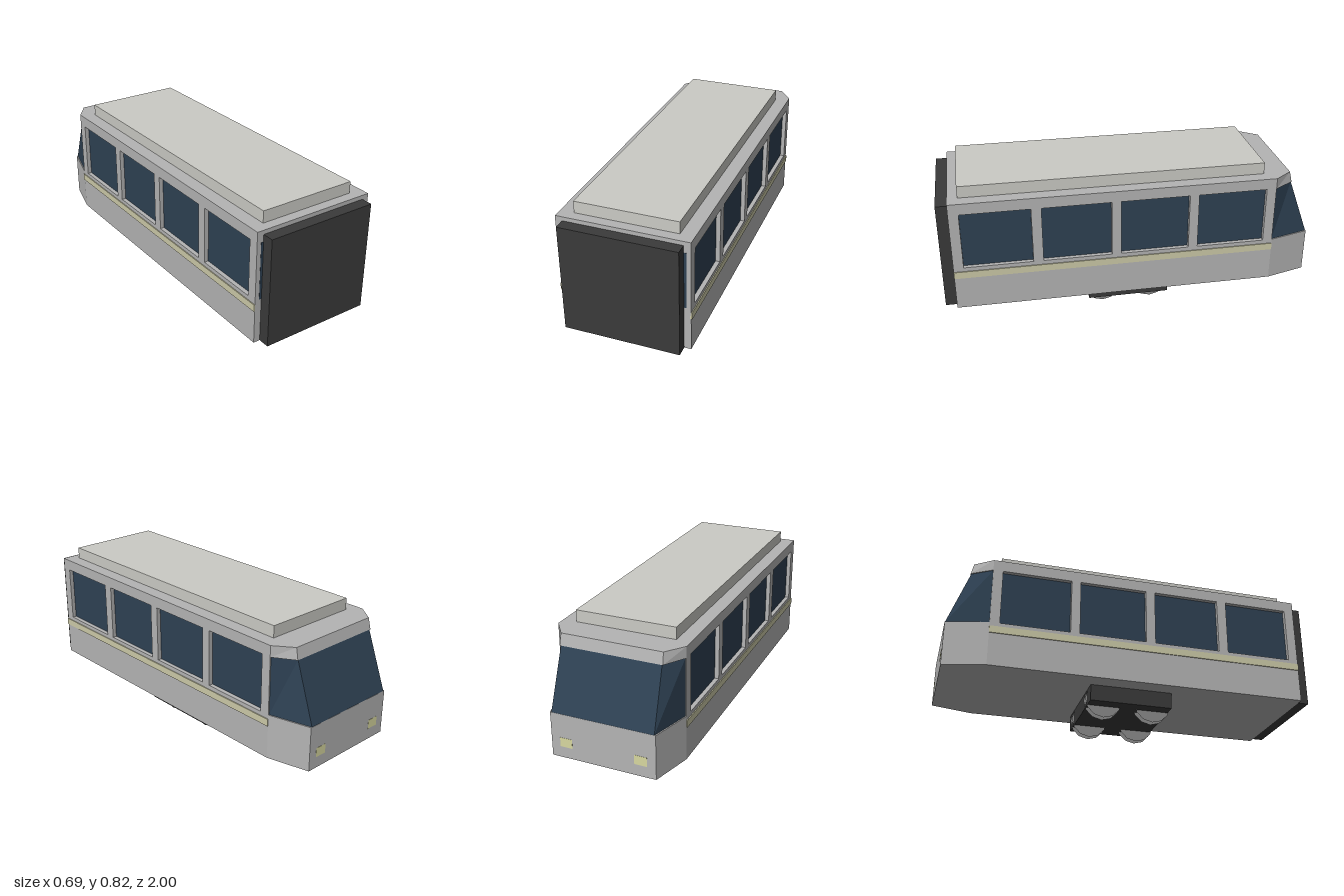
import * as THREE from 'three';

const mat = (name, color, side = THREE.FrontSide) => {
  const m = new THREE.MeshStandardMaterial({ color, side });
  m.name = name;
  return m;
};

export function createModel() {
  const root = new THREE.Group();
  root.name = 'tramSection';
  const paint = mat('greyPaint', 0xb4b4b4);
  const roofPaint = mat('roofGrey', 0xcbcbc5);
  const glass = mat('darkBlueGlass', 0x2e4153);
  const cream = mat('creamStripe', 0xcccaa8);
  const rubber = mat('blackRubber', 0x3a3a3a);
  const steel = mat('wheelSteel', 0x8a8a8a, THREE.DoubleSide);
  const lampYellow = mat('lampYellow', 0xd8d8a0);

  const add = (name, geometry, material) => {
    const mesh = new THREE.Mesh(geometry, material);
    mesh.name = name;
    root.add(mesh);
    return mesh;
  };
  // Box given by its limits on each axis
  const box = (name, material, x0, x1, y0, y1, z0, z1) =>
    add(name, new THREE.BoxGeometry(x1 - x0, y1 - y0, z1 - z0), material)
      .position.set((x0 + x1) / 2, (y0 + y1) / 2, (z0 + z1) / 2);

  // Tapered nose block between two trapezoids [rear half width, rear z, nose half width, nose z]
  const noseBlock = (name, material, y0, low, y1, high) => {
    const ring = ([w0, z0, w1, z1], y) =>
      [[-w0, y, z0], [-w1, y, z1], [w1, y, z1], [w0, y, z0]];
    const a = ring(low, y0), b = ring(high, y1);
    const pos = [];
    const quad = (p, q, r, s) => pos.push(...p, ...q, ...r, ...p, ...r, ...s);
    for (let i = 0; i < 4; i++) {
      const j = (i + 1) % 4;
      quad(a[j], a[i], b[i], b[j]);
    }
    quad(b[3], b[2], b[1], b[0]);
    quad(a[0], a[1], a[2], a[3]);
    const g = new THREE.BufferGeometry();
    g.setAttribute('position', new THREE.Float32BufferAttribute(pos, 3));
    g.computeVertexNormals();
    add(name, g, material);
  };

  const W = 0.34, front = 0.94, back = -0.78;
  const floor = 0.15, sill = 0.39, lintel = 0.697, top = 0.757;

  // Saloon: lower shell, recessed glazing, upper shell and roof unit
  box('lowerShell', paint, -W, W, floor, sill, back, front);
  box('windowGlass', glass, -0.317, 0.317, sill, lintel, back, front + 0.001);
  box('upperShell', paint, -W, W, lintel, top, back, front);
  box('roofUnit', roofPaint, -0.267, 0.267, top, 0.82, -0.73, 0.887);

  // Side pillars between the windows, and the belt stripes
  const pillars = [[0.887, front], [0.472, 0.525], [0.057, 0.108], [-0.358, -0.308], [back, -0.728]];
  for (const s of [-1, 1]) {
    for (const [z0, z1] of pillars) {
      const xs = [s * 0.315, s * W].sort((p, q) => p - q);
      box('windowPillar', paint, xs[0], xs[1], sill, lintel, z0, z1);
    }
    const xs = [s * 0.335, s * 0.345].sort((p, q) => p - q);
    box('beltStripe', cream, xs[0], xs[1], 0.33, 0.368, back, front);
  }

  // Driver's cab: base, raked windscreen and brow
  noseBlock('cabBase', paint, floor, [W, back, 0.28, -1], sill, [W, back, 0.28, -1]);
  noseBlock('cabGlass', glass, sill, [0.334, back, 0.273, -0.999], lintel, [0.334, back, 0.265, -0.887]);
  noseBlock('cabBrow', paint, lintel, [W, back, 0.27, -0.89], top, [W, back, 0.267, -0.876]);

  // Headlamps
  for (const s of [-1, 1]) {
    box('headlamp', lampYellow, s * 0.2 - 0.033, s * 0.2 + 0.033, 0.21, 0.26, -1.001, -0.997);
  }

  // Gangway bellows
  box('gangwayBellows', rubber, -0.304, 0.304, floor, 0.735, front, 1);

  // Bogie with wheels, each a pair of thin discs
  box('bogieFrame', rubber, -0.243, 0.243, 0.063, floor, -0.222, 0.222);
  for (const s of [-1, 1]) {
    for (const z of [-0.135, 0.135]) {
      for (const x of [0.135, 0.175]) {
        const disc = add('wheelDisc', new THREE.CircleGeometry(0.1, 12), steel);
        disc.rotation.y = s * Math.PI / 2;
        disc.position.set(s * x, 0.1, z);
      }
    }
  }
  return root;
}
